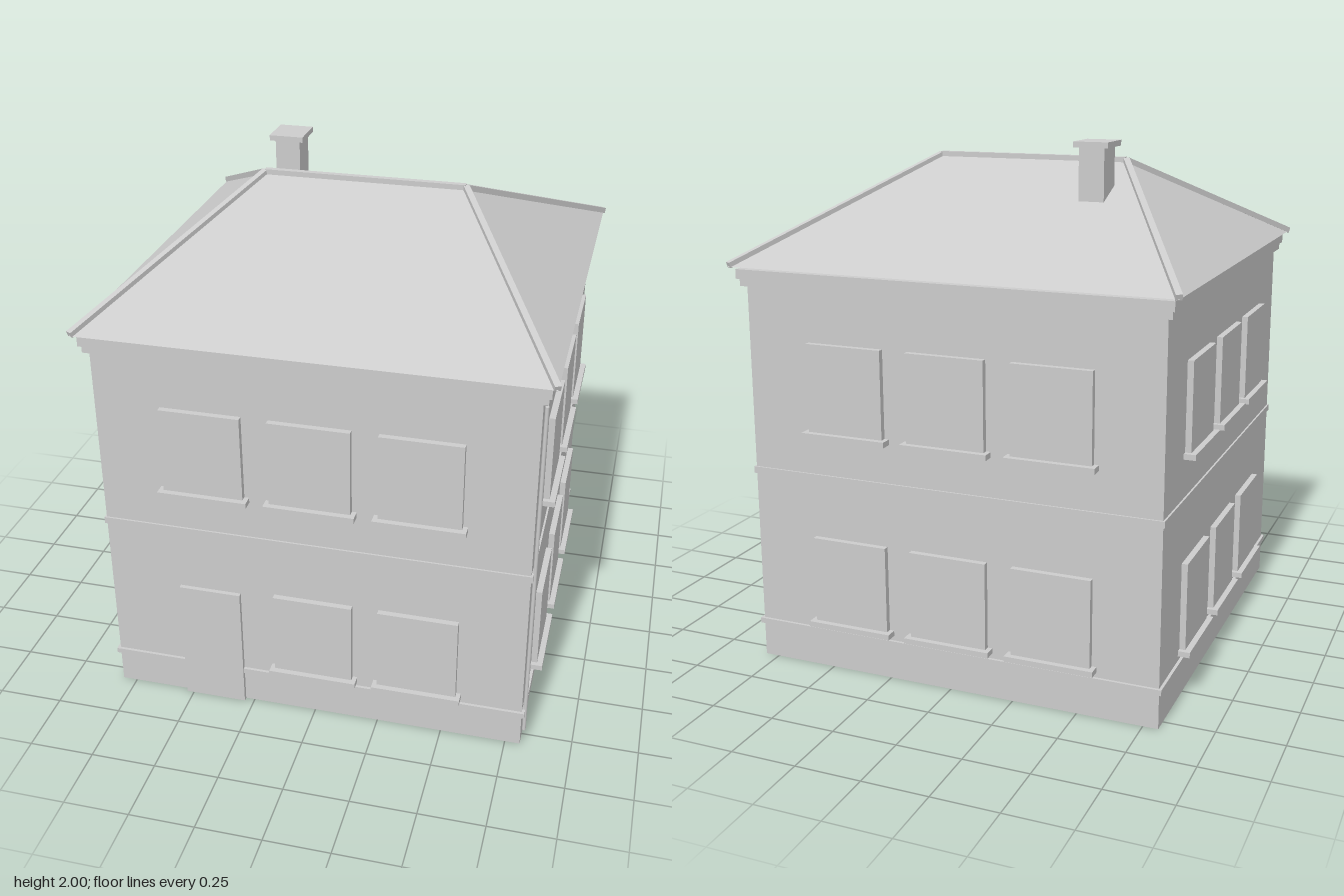
import * as THREE from 'three';

export function createModel() {
  const model = new THREE.Group();
  const stone = new THREE.MeshStandardMaterial({ color: 0xcccccc });
  stone.name = 'plain grey';

  const add = (name, geometry, parent = model) => {
    const mesh = new THREE.Mesh(geometry, stone);
    mesh.name = name;
    parent.add(mesh);
    return mesh;
  };
  // box given by its minimum and maximum on each axis
  const box = (name, x0, x1, y0, y1, z0, z1, parent) => {
    const mesh = add(name, new THREE.BoxGeometry(x1 - x0, y1 - y0, z1 - z0), parent);
    mesh.position.set((x0 + x1) / 2, (y0 + y1) / 2, (z0 + z1) / 2);
    return mesh;
  };
  // square slab centred on the house
  const slab = (name, half, y0, y1) => box(name, -half, half, y0, y1, -half, half);

  // Body with its surrounding bands and stepped cornice
  const WALL = 0.807;
  slab('walls', WALL, 0, 1.54);
  slab('plinthBand', 0.818, 0.135, 0.156);
  slab('floorBand', 0.814, 0.753, 0.779);
  slab('lowerCornice', 0.826, 1.478, 1.506);
  slab('upperCornice', 0.836, 1.506, 1.542);
  slab('roofSeat', 0.8, 1.54, 1.554);

  // Three windows per floor on each side; the door replaces one at the front
  ['front', 'left', 'back', 'right'].forEach((side, i) => {
    const facade = new THREE.Group();
    facade.name = side + 'Windows';
    facade.rotation.y = i * Math.PI / 2;
    model.add(facade);
    for (const y of [0.196, 0.949]) {
      for (const x of [-0.404, 0, 0.404]) {
        if (side === 'front' && y < 0.5 && x < 0) continue;
        box('window', x - 0.152, x + 0.152, y, y + 0.334, WALL - 0.02, 0.83, facade);
        box('windowSill', x - 0.17, x + 0.17, y - 0.021, y, WALL - 0.02, 0.852, facade);
      }
    }
  });
  box('door', -0.527, -0.286, 0, 0.51, WALL - 0.02, 0.824);

  // Hipped roof: two trapezoids, two triangles and a flat underside
  const E = 0.855, R = 0.39, EAVE = 1.552, RIDGE = 1.908;
  const a = [-E, EAVE, E], b = [E, EAVE, E], c = [E, EAVE, -E], d = [-E, EAVE, -E];
  const l = [-R, RIDGE, 0], r = [R, RIDGE, 0];
  const faces = [[a, b, r], [a, r, l], [c, d, l], [c, l, r], [b, c, r], [d, a, l], [a, d, c], [a, c, b]];
  const roof = new THREE.BufferGeometry();
  roof.setAttribute('position', new THREE.Float32BufferAttribute(faces.flat(2), 3));
  roof.computeVertexNormals();
  add('roof', roof);

  // Capping strips along the ridge and hips
  const strip = (name, from, to) => {
    const p = new THREE.Vector3(...from), q = new THREE.Vector3(...to);
    const mesh = add(name, new THREE.BoxGeometry(0.024, 0.022, p.distanceTo(q)));
    mesh.position.copy(p).lerp(q, 0.5);
    mesh.lookAt(q);
  };
  strip('ridgeCap', [-R, 1.912, 0], [R, 1.912, 0]);
  for (const sx of [-1, 1]) {
    for (const sz of [-1, 1]) {
      strip('hipCap', [sx * 0.853, 1.558, sz * 0.853], [sx * R, 1.911, 0]);
    }
  }

  // Chimney on the rear slope
  box('chimneyStack', -0.405, -0.307, 1.7, 1.98, -0.302, -0.183);
  box('chimneyCap', -0.425, -0.291, 1.979, 2, -0.319, -0.17);

  // Drainpipe by the front left corner
  const pipe = add('drainpipe', new THREE.CylinderGeometry(0.007, 0.007, 1.396, 12));
  pipe.position.set(0.8175, 0.754, 0.786);

  return model;
}
